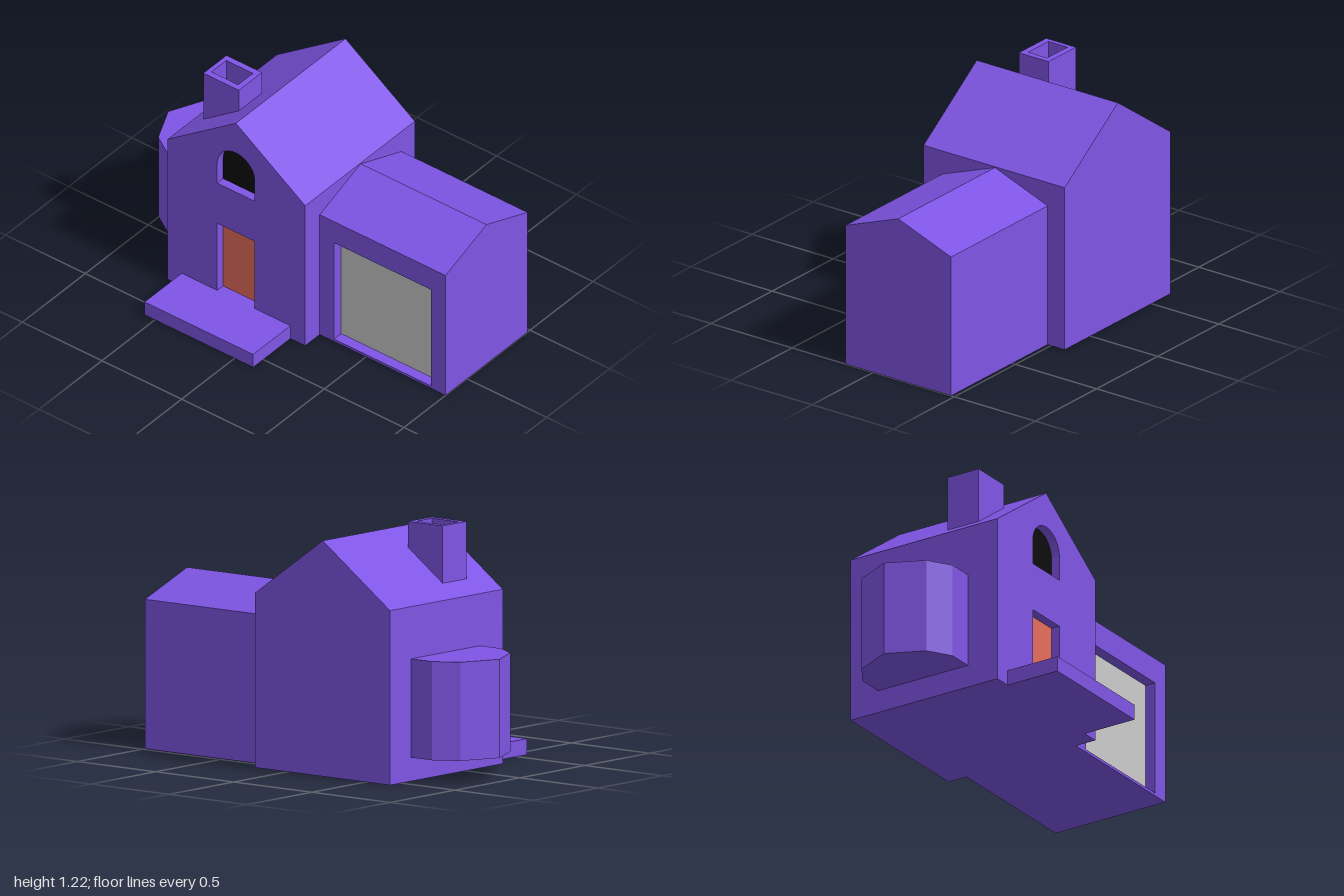
import * as THREE from 'three';

const wallMat = new THREE.MeshStandardMaterial({ color: 0x7f55e5 });
const doorMat = new THREE.MeshStandardMaterial({ color: 0xe66d5c });
const glassMat = new THREE.MeshStandardMaterial({ color: 0x0b0b0b });
const greyMat = new THREE.MeshStandardMaterial({ color: 0xcccccc });

const polygon = (pts) => new THREE.Shape(pts.map(([x, y]) => new THREE.Vector2(x, y)));
const rect = (x0, y0, x1, y1) => polygon([[x0, y0], [x1, y0], [x1, y1], [x0, y1]]);

// Extrude a front outline from z0 to z1
function extrudeZ(shape, z0, z1, holes = []) {
  const s = shape.clone();
  s.holes = holes;
  return new THREE.ExtrudeGeometry(s, { depth: z1 - z0, bevelEnabled: false, curveSegments: 12 }).translate(0, 0, z0);
}

// Extrude a plan outline, drawn as (x, -z), from y0 to y1
const extrudeY = (shape, y0, y1, holes) => extrudeZ(shape, y0, y1, holes).rotateX(-Math.PI / 2);

// Extrude a side outline, drawn as (-z, y), from x0 to x1
const extrudeX = (shape, x0, x1) => extrudeZ(shape, x0, x1).rotateY(Math.PI / 2);

export function createModel() {
  const group = new THREE.Group();
  const add = (name, geometry, material = wallMat) => {
    const mesh = new THREE.Mesh(geometry, material);
    mesh.name = name;
    group.add(mesh);
  };

  // Main house: gabled body with a front wall pierced by door and window
  const gable = polygon([[-0.655, 0], [0.21, 0], [0.21, 0.87], [-0.225, 1.175], [-0.655, 0.87]]);
  const doorway = rect(-0.342, 0.08, -0.107, 0.497);
  const arch = new THREE.Shape();
  arch.moveTo(-0.342, 0.747);
  arch.lineTo(-0.107, 0.747);
  arch.lineTo(-0.107, 0.873);
  arch.absarc(-0.2245, 0.873, 0.1175, 0, Math.PI, false);
  arch.closePath();
  add('houseBody', extrudeZ(gable, -0.585, 0.235));
  add('houseFrontWall', extrudeZ(gable, 0.235, 0.285, [doorway, arch]));
  add('frontDoor', extrudeZ(doorway, 0.23, 0.238), doorMat);
  add('archedWindow', extrudeZ(arch, 0.23, 0.238), glassMat);

  // Front porch slab
  add('porch', extrudeZ(rect(-0.565, 0, 0.117, 0.08), 0.285, 0.58));

  // Garage wing: body, pierced front wall, roof and recessed door
  const garageOpening = rect(0.3, 0.015, 0.91, 0.613);
  add('garageBody', extrudeZ(rect(0.21, 0, 1, 0.745), -0.48, 0.11));
  add('garageFrontWall', extrudeZ(rect(0.21, 0, 1, 0.745), 0.11, 0.17, [garageOpening]));
  add('garageRoof', extrudeX(polygon([[-0.17, 0.745], [0.48, 0.745], [0.155, 0.865]]), 0.21, 1));
  add('garageDoor', extrudeZ(garageOpening, 0.105, 0.113), greyMat);

  // Bay window block on the side wall
  const bay = polygon([
    [-0.655, -0.11], [-0.655, 0.423], [-0.79, 0.423], [-0.91, 0.35],
    [-1, 0.157], [-0.91, -0.035], [-0.79, -0.11],
  ]);
  add('bay', extrudeY(bay, 0.118, 0.61));

  // Hollow chimney rising through the roof slope
  const flue = rect(-0.54, -0.08, -0.373, 0.037);
  add('chimney', extrudeY(rect(-0.565, -0.113, -0.342, 0.07), 0.9, 1.22, [flue]));

  return group;
}
